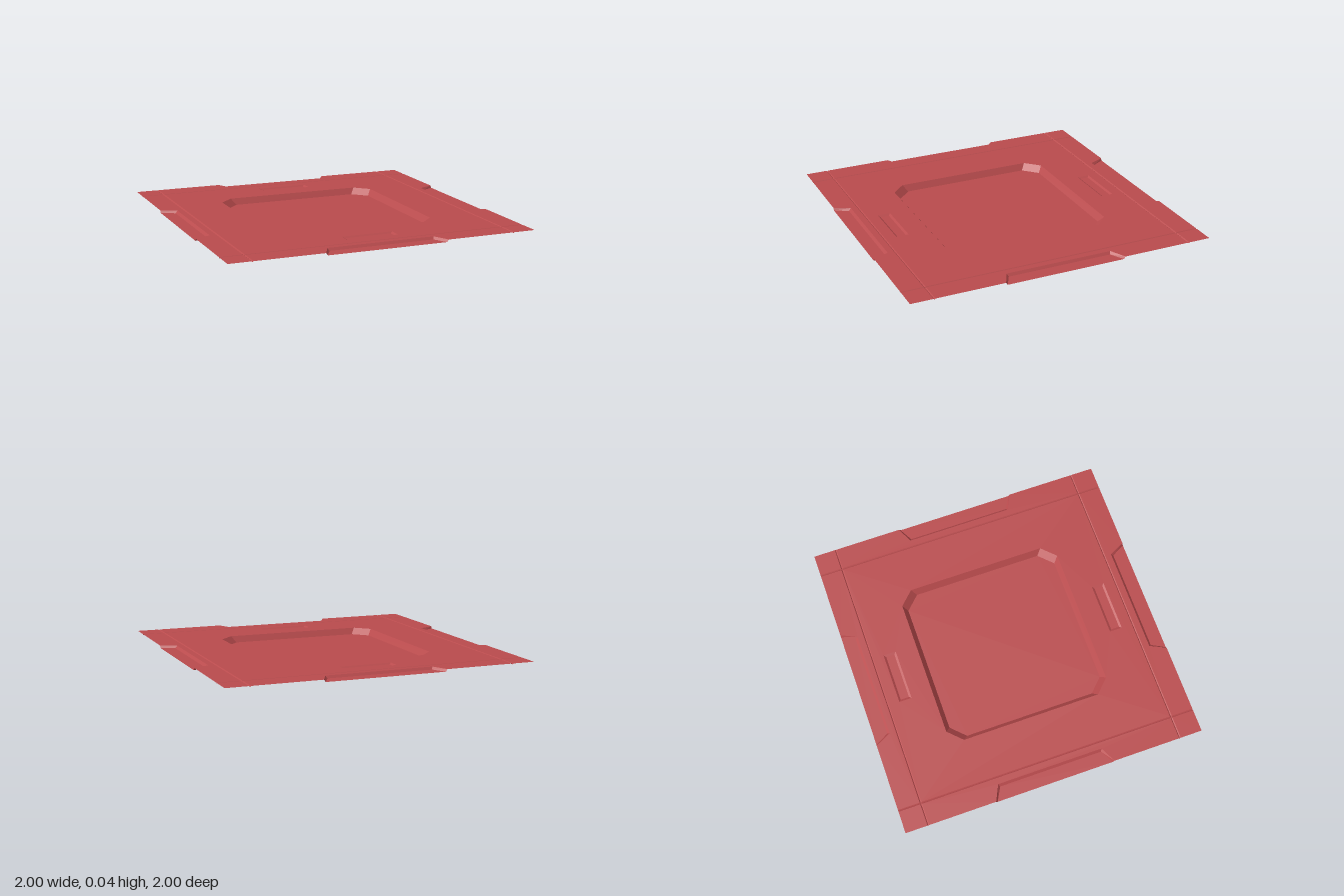
import * as THREE from 'three';
import { mergeGeometries } from 'three/addons/utils/BufferGeometryUtils.js';

const TOP = 0.04;                      // height of the sheet
const IN = 0.844, MID = 0.85, OUT = 0.856; // seam groove: inner lip, bottom, outer lip
const SEAM = TOP - 0.005;

const material = new THREE.MeshStandardMaterial({
  color: 0xb94b4d, side: THREE.DoubleSide, flatShading: true,
});

// Everything is drawn as plan (x, y) with height z, then laid down flat.
function addMesh(parent, name, geometry) {
  geometry.rotateX(-Math.PI / 2);
  const mesh = new THREE.Mesh(geometry, material);
  mesh.name = name;
  parent.add(mesh);
}

const toVectors = (pts) => pts.map(([x, y]) => new THREE.Vector2(x, y));

// Flat polygon at a height, with optional holes
function flat(pts, height, holes = []) {
  const shape = new THREE.Shape(toVectors(pts));
  shape.holes = holes.map((h) => new THREE.Path(toVectors(h)));
  return new THREE.ShapeGeometry(shape).translate(0, 0, height).toNonIndexed();
}

// Sloping band between two outlines of [x, y, z] points
function band(a, b, closed) {
  const pos = [];
  const n = a.length;
  for (let i = 0; i < (closed ? n : n - 1); i++) {
    const j = (i + 1) % n;
    pos.push(...a[i], ...a[j], ...b[j], ...a[i], ...b[j], ...b[i]);
  }
  return fromPositions(pos);
}

function fromPositions(pos) {
  const geo = new THREE.BufferGeometry();
  geo.setAttribute('position', new THREE.Float32BufferAttribute(pos, 3));
  geo.setAttribute('uv', new THREE.Float32BufferAttribute(new Array(pos.length / 3 * 2).fill(0), 2));
  geo.computeVertexNormals();
  return geo;
}

// Recess with sloping walls and a flat floor
function recess(rim, floor, depth, closed = true) {
  const lift = (pts, z) => pts.map(([x, y]) => [x, y, z]);
  return mergeGeometries([
    band(lift(rim, TOP), lift(floor, TOP - depth), closed),
    flat(floor, TOP - depth),
  ]);
}

const rect = (x0, y0, x1, y1) => [[x0, y0], [x1, y0], [x1, y1], [x0, y1]];

// Square with cut corners: h is half the width, c the half length of a side
const octagon = (h, c) => [
  [h, -c], [h, c], [c, h], [-c, h], [-h, c], [-h, -c], [-c, -h], [c, -h],
];

// V groove along x at y = MID, or along y at x = MID when swapped
function groove(from, to, swapped) {
  const line = (s, z) => [from, to].map((t) => (swapped ? [s, -t, z] : [t, s, z]));
  const lines = [line(IN, TOP), line(MID, SEAM), line(OUT, TOP)];
  const geo = mergeGeometries([band(lines[0], lines[1]), band(lines[1], lines[2])]);
  return swapped ? geo.rotateZ(Math.PI / 2).rotateZ(-Math.PI / 2) : geo;
}

// Meeting point of two V grooves
function grooveCrossing() {
  const ring = [
    [IN, IN, TOP], [MID, IN, SEAM], [OUT, IN, TOP], [OUT, MID, SEAM],
    [OUT, OUT, TOP], [MID, OUT, SEAM], [IN, OUT, TOP], [IN, MID, SEAM],
  ];
  const pos = [];
  ring.forEach((p, i) => pos.push(MID, MID, SEAM, ...p, ...ring[(i + 1) % 8]));
  return fromPositions(pos);
}

export function createModel() {
  const model = new THREE.Group();
  model.name = 'floorPanel';

  // Middle sheet with openings for the tray and the two slots
  const trayRim = octagon(0.55, 0.46);
  const slotRims = [rect(-0.17, 0.69, 0.17, 0.773), rect(-0.17, -0.773, 0.17, -0.69)];
  const slotFloors = [rect(-0.155, 0.704, 0.155, 0.76), rect(-0.155, -0.76, 0.155, -0.704)];
  addMesh(model, 'centerSheet', flat(rect(-IN, -IN, IN, IN), TOP, [trayRim, ...slotRims]));
  addMesh(model, 'centerTray', recess(trayRim, octagon(0.52, 0.43), TOP));
  slotRims.forEach((rim, i) => {
    addMesh(model, i ? 'frontSlot' : 'backSlot', recess(rim, slotFloors[i], 0.008));
  });

  // Border: the same edge and corner repeated on four sides
  const notch = [[-0.4, 1], [-0.35, 0.897], [0.35, 0.897], [0.4, 1]];
  const notchFloor = [[-0.39, 1], [-0.342, 0.912], [0.342, 0.912], [0.39, 1]];
  ['back', 'left', 'front', 'right'].forEach((side, i) => {
    const edge = new THREE.Group();
    edge.name = side + 'Edge';
    edge.rotation.y = -i * Math.PI / 2;
    const strip = [[-IN, OUT], [IN, OUT], [IN, 1], ...[...notch].reverse(), [-IN, 1]];
    addMesh(edge, 'edgeStrip', flat(strip, TOP));
    addMesh(edge, 'edgeNotch', recess(notch, notchFloor, 0.015, false));
    addMesh(edge, 'cornerPlate', flat(rect(OUT, OUT, 1, 1), TOP));
    addMesh(edge, 'seamGroove', mergeGeometries([
      groove(-IN, IN), groove(OUT, 1), groove(-OUT, -1, true), grooveCrossing(),
    ]));
    model.add(edge);
  });
  return model;
}
